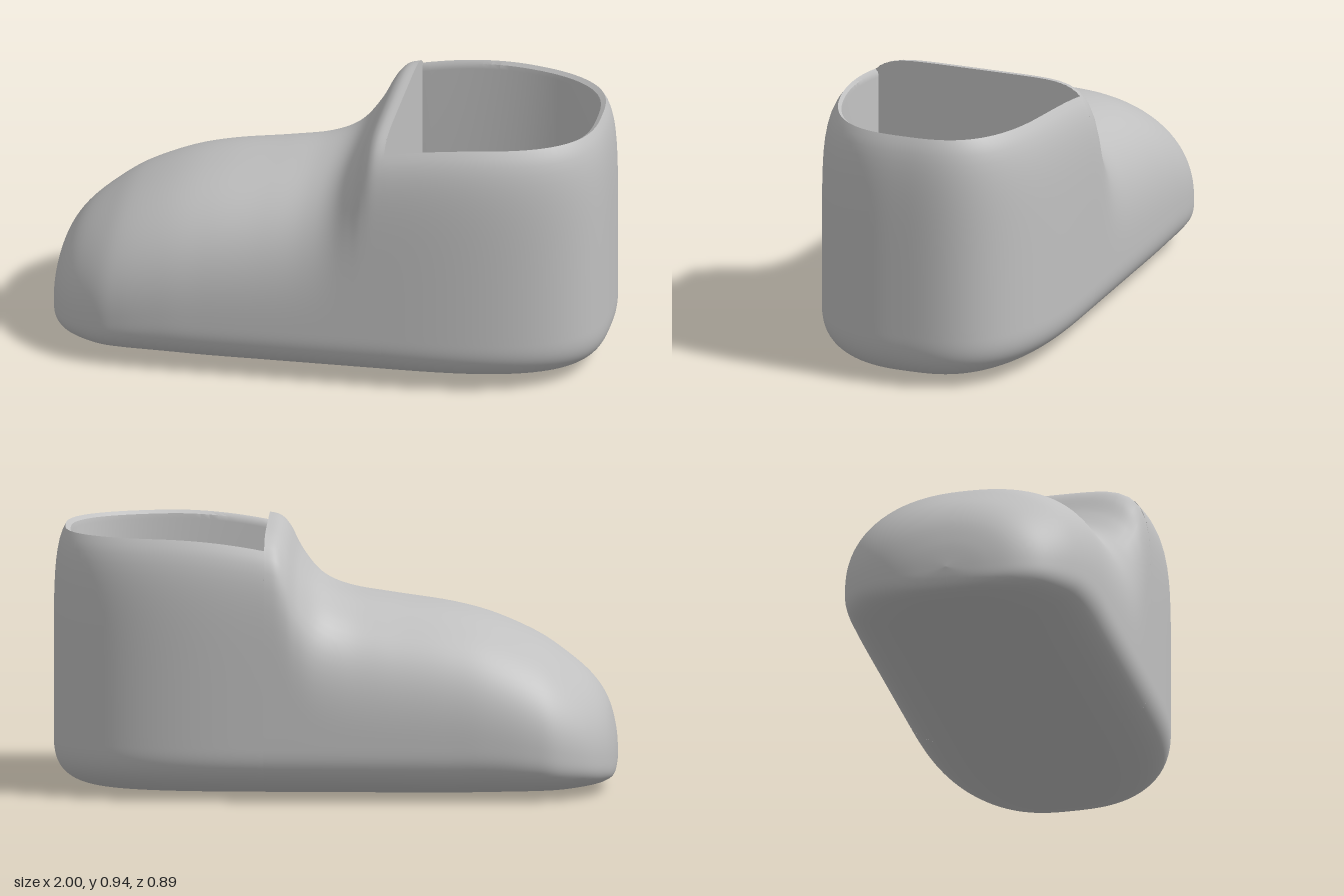
import * as THREE from 'three';
import { toCreasedNormals } from 'three/addons/utils/BufferGeometryUtils.js';

const SEAM = 0.24;         // x where the foot meets the ankle collar
const HALF = 0.447;        // half width of the shoe
const LEVEL = 0.2;         // height of the widest line
const RIM = 0.821;         // section angle at which the collar rim ends
const FLOOR = 0.1;         // height of the insole

// Point of a unit superellipse at direction a
function superPoint(a, n) {
  const c = Math.cos(a), s = Math.sin(a);
  const r = Math.pow(Math.abs(c) ** n + Math.abs(s) ** n, -1 / n);
  return [c * r, s * r];
}

// Surface from a grid of points fn(u, v), u and v in 0..1
function gridSurface(nu, nv, fn) {
  const pos = [], index = [];
  for (let i = 0; i <= nu; i++)
    for (let j = 0; j <= nv; j++) pos.push(...fn(i / nu, j / nv));
  for (let i = 0; i < nu; i++)
    for (let j = 0; j < nv; j++) {
      const a = i * (nv + 1) + j, b = a + nv + 1;
      index.push(a, b, a + 1, b, b + 1, a + 1);
    }
  const g = new THREE.BufferGeometry();
  g.setAttribute('position', new THREE.Float32BufferAttribute(pos, 3));
  g.setIndex(index);
  g.computeVertexNormals();
  return g;
}

// Foot sections: x, half width, bottom, widest level, top, roundness of the top
const SECTIONS = [
  [-1, 0, 0.12, 0.12, 0.12, 2.2],
  [-0.99, 0.14, 0.06, 0.12, 0.22, 2.2],
  [-0.96, 0.25, 0.037, 0.13, 0.32, 2.2],
  [-0.9, 0.34, 0.024, 0.14, 0.405, 2.2],
  [-0.8, 0.41, 0.012, 0.16, 0.487, 2.3],
  [-0.7, 0.435, 0.007, 0.18, 0.55, 2.4],
  [-0.55, 0.446, 0.003, LEVEL, 0.614, 2.5],
  [-0.4, HALF, 0, LEVEL, 0.652, 2.6],
  [-0.2, HALF, 0, LEVEL, 0.681, 2.7],
  [-0.05, HALF, 0, LEVEL, 0.705, 2.9],
  [0.05, HALF, 0, LEVEL, 0.745, 3.4],
  [0.12, HALF, 0, LEVEL, 0.82, 4.4],
  [0.165, HALF, 0, LEVEL, 0.897, 5.6],
  [0.2, HALF, 0, LEVEL, 0.93, 6.6],
  [SEAM, HALF, 0, LEVEL, 0.94, 7],
];

// Smooth interpolation between neighbouring sections
function sectionAt(u) {
  const t = u * (SECTIONS.length - 1);
  const k = Math.min(Math.floor(t), SECTIONS.length - 2), f = t - k;
  const row = i => SECTIONS[Math.max(0, Math.min(SECTIONS.length - 1, i))];
  return row(k).map((p1, c) => {
    const p0 = row(k - 1)[c], p2 = row(k + 1)[c], p3 = row(k + 2)[c];
    const m1 = (p2 - p0) / 2, m2 = (p3 - p1) / 2;
    return p1 + f * (m1 + f * (3 * (p2 - p1) - 2 * m1 - m2 + f * (2 * (p1 - p2) + m1 + m2)));
  });
}

function footPoint(u, v) {
  const [x, w, lo, mid, top, n] = sectionAt(u);
  const a = v * Math.PI * 2 - Math.PI / 2;
  const [z, y] = superPoint(a, Math.sin(a) < 0 ? 3 : n);
  return [x, mid + y * (y < 0 ? mid - lo : top - mid), z * w];
}

// Point on the heel: plan direction u, section angle a
function heelPoint(u, a) {
  const [s, y] = superPoint(a, a < 0 ? 3 : 7);
  const [px, pz] = superPoint((0.5 - u) * Math.PI, 2.9);
  const reach = Math.pow(Math.max(s, 0), 0.4);
  const k = Math.min(1, Math.max(0, px) * 0.755 / 0.4);
  const rise = 0.74 + 0.04 * k * (2 - k);
  return [SEAM + Math.max(0, px) * 0.755 * reach, LEVEL + y * (y < 0 ? LEVEL : rise), pz * HALF * s];
}

// Inside of the collar: rim, lip, wall, floor edge, floor centre
function liningPoint(u, v) {
  const [x, y, z] = heelPoint(u, RIM);
  const step = Math.round(v * 4);
  const scale = [1, 0.975, 0.97, 0.97, 0][step];
  const height = [y, y - 0.012, y - 0.03, FLOOR, FLOOR][step];
  return [SEAM + (x - SEAM) * scale, height, z * scale];
}

export function createModel() {
  const group = new THREE.Group();
  const grey = new THREE.MeshStandardMaterial({ color: 0xc0c0c0, side: THREE.DoubleSide });
  grey.name = 'light grey';
  const add = (name, geometry) => {
    const mesh = new THREE.Mesh(geometry, grey);
    mesh.name = name;
    group.add(mesh);
  };

  // Toe and instep
  add('foot', gridSurface(98, 96, footPoint));

  // Heel and ankle wall, from under the sole up to the rim
  add('heel', gridSurface(72, 64, (u, v) =>
    heelPoint(u, -Math.PI / 2 + v * (RIM + Math.PI / 2))));

  // Inner wall and insole
  add('lining', toCreasedNormals(gridSurface(72, 4, liningPoint), 0.6));

  // Front wall of the opening, ending in the curved tongue edge
  const wall = new THREE.Shape();
  const edge = HALF * superPoint(RIM, 7)[0];
  wall.moveTo(-edge, FLOOR);
  wall.lineTo(edge, FLOOR);
  for (let i = 0; i <= 24; i++) {
    const [z, y] = superPoint(RIM + (i / 24) * (Math.PI - 2 * RIM), 7);
    wall.lineTo(z * HALF, LEVEL + y * 0.74);
  }
  add('tongueWall', new THREE.ShapeGeometry(wall).rotateY(Math.PI / 2).translate(SEAM, 0, 0));

  return group;
}
